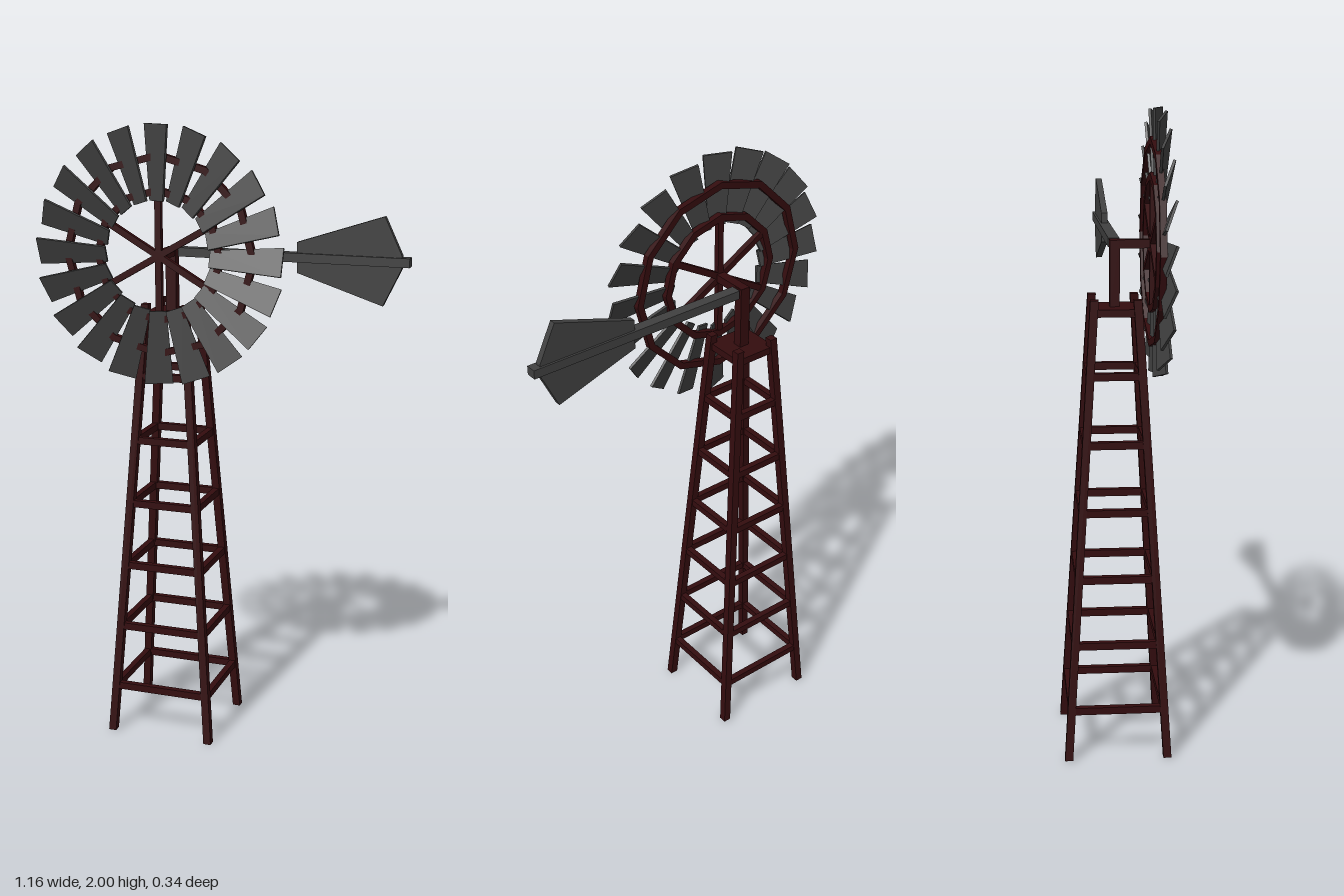
import * as THREE from 'three';

export function createModel() {
  const model = new THREE.Group();
  const red = new THREE.MeshStandardMaterial({ name: 'darkRed', color: 0x330c0e });
  const grey = new THREE.MeshStandardMaterial({ name: 'charcoal', color: 0x404040 });
  const cx = -0.18, hubY = 1.6;

  const add = (parent, name, geometry, material) => {
    const mesh = new THREE.Mesh(geometry, material);
    mesh.name = name;
    parent.add(mesh);
    return mesh;
  };
  const box = (parent, name, material, size, pos) => {
    const mesh = add(parent, name, new THREE.BoxGeometry(...size), material);
    mesh.position.set(...pos);
    return mesh;
  };

  // Tower, centred on its own axis
  const tower = new THREE.Group();
  tower.name = 'tower';
  tower.position.x = cx;
  model.add(tower);
  const legTop = 1.44;
  const spread = (y) => {
    const t = y / legTop;
    return [0.168 + (0.065 - 0.168) * t, 0.155 + (0.065 - 0.155) * t];
  };

  // Four leaning legs: a box sheared towards the axis
  for (const sx of [-1, 1]) {
    for (const sz of [-1, 1]) {
      const g = new THREE.BoxGeometry(0.025, legTop, 0.025);
      g.translate(0, legTop / 2, 0);
      const p = g.attributes.position;
      for (let i = 0; i < p.count; i++) {
        const [dx, dz] = spread(p.getY(i));
        p.setX(i, p.getX(i) + sx * dx);
        p.setZ(i, p.getZ(i) + sz * dz);
      }
      g.computeVertexNormals();
      add(tower, 'leg', g, red);
    }
  }

  // Square frames of rungs
  for (let i = 0; i < 6; i++) {
    const y = 0.16 + i * 0.21;
    const [dx, dz] = spread(y);
    for (const s of [-1, 1]) {
      box(tower, 'rung', red, [2 * dx, 0.023, 0.02], [0, y, s * dz]);
      box(tower, 'sideRung', red, [0.02, 0.023, 2 * dz], [s * dx, y, 0]);
    }
  }
  box(tower, 'platform', red, [0.145, 0.023, 0.145], [0, 1.4, 0]);
  box(tower, 'post', red, [0.034, 0.22, 0.03], [0, 1.502, 0]);
  box(tower, 'axle', red, [0.03, 0.026, 0.135], [0, hubY, 0.053]);

  // Tail boom and vane
  box(model, 'tailBoom', grey, [0.735, 0.028, 0.034], [0.2125, hubY, 0]);
  const outline = [[0.23, -0.047], [0.5, -0.135], [0.555, -0.02], [0.555, 0.02], [0.5, 0.135], [0.23, 0.047]];
  const vaneShape = new THREE.Shape(outline.map(([x, y]) => new THREE.Vector2(x, y)));
  const vane = add(model, 'tailVane',
    new THREE.ExtrudeGeometry(vaneShape, { depth: 0.02, bevelEnabled: false }), grey);
  vane.position.set(0, hubY, -0.01);

  // Wheel
  const wheel = new THREE.Group();
  wheel.name = 'wheel';
  wheel.position.set(cx, hubY, 0);
  model.add(wheel);

  // Twelve-sided rings with a square section
  for (const r of [0.2, 0.305]) {
    const polygon = (radius) => Array.from({ length: 12 }, (_, i) =>
      new THREE.Vector2(radius * Math.cos(i * Math.PI / 6), radius * Math.sin(i * Math.PI / 6)));
    const shape = new THREE.Shape(polygon(r + 0.011));
    shape.holes.push(new THREE.Path(polygon(r - 0.011)));
    const ring = add(wheel, 'ring',
      new THREE.ExtrudeGeometry(shape, { depth: 0.02, bevelEnabled: false }), red);
    ring.position.z = 0.105;
  }

  // Six spokes
  for (let i = 0; i < 6; i++) {
    const spoke = new THREE.Group();
    spoke.name = 'spoke';
    spoke.rotation.z = i * Math.PI / 3;
    box(spoke, 'spokeBar', red, [0.02, 0.2, 0.018], [0, 0.1, 0.115]);
    wheel.add(spoke);
  }

  // Twenty pitched, tapering blades
  const bladeGeometry = new THREE.BoxGeometry(1, 0.23, 0.008);
  const bp = bladeGeometry.attributes.position;
  for (let i = 0; i < bp.count; i++) {
    bp.setX(i, bp.getX(i) * (bp.getY(i) > 0 ? 0.09 : 0.053));
  }
  bladeGeometry.computeVertexNormals();
  for (let i = 0; i < 20; i++) {
    const arm = new THREE.Group();
    arm.name = 'bladeArm';
    arm.rotation.z = i * Math.PI / 10;
    const blade = add(arm, 'blade', bladeGeometry, grey);
    blade.position.set(0, 0.284, 0.128);
    blade.rotation.y = -0.36;
    wheel.add(arm);
  }
  return model;
}
